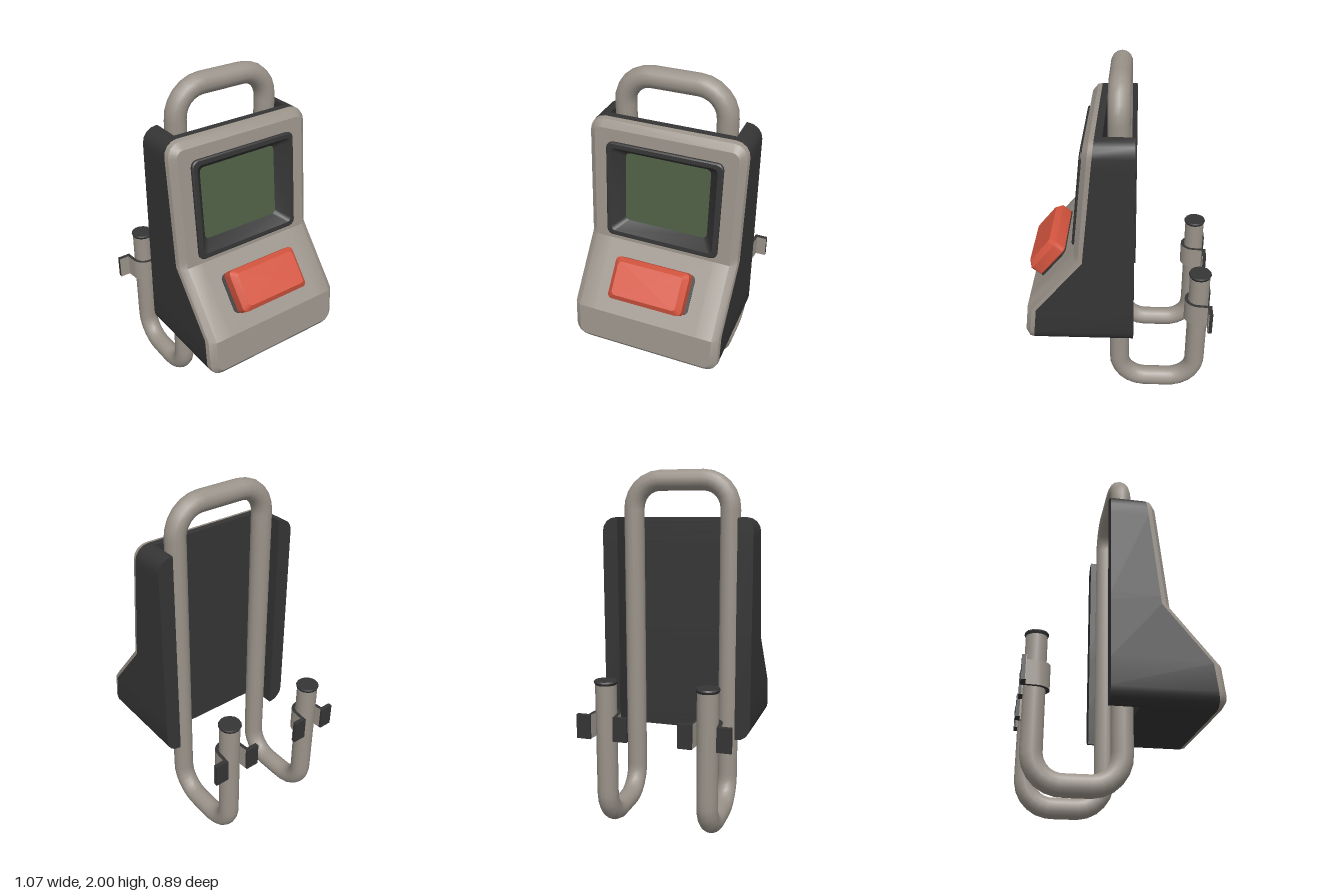
import * as THREE from 'three';
import { toCreasedNormals } from 'three/addons/utils/BufferGeometryUtils.js';

const material = (name, color, side = THREE.FrontSide) => {
  const m = new THREE.MeshStandardMaterial({ color, side });
  m.name = name;
  return m;
};

// Geometry from a list of quads, each four corners counter-clockwise
function quadGeometry(quads) {
  const pos = [];
  for (const [a, b, c, d] of quads) pos.push(...a, ...b, ...c, ...a, ...c, ...d);
  const g = new THREE.BufferGeometry();
  g.setAttribute('position', new THREE.Float32BufferAttribute(pos, 3));
  return toCreasedNormals(g, 0.55);
}

// Skin over rows stacked upwards; caps lists the quads closing both ends
function loft(rows, caps, skip = () => false) {
  const quads = [];
  for (let i = 0; i + 1 < rows.length; i++)
    for (let j = 0; j + 1 < rows[i].length; j++)
      if (!skip(i, j)) quads.push([rows[i][j + 1], rows[i][j], rows[i + 1][j], rows[i + 1][j + 1]]);
  const top = rows[rows.length - 1];
  for (const c of caps) {
    quads.push(c.map(k => rows[0][k]));
    quads.push([...c].reverse().map(k => top[k]));
  }
  return quadGeometry(quads);
}

// Rounded rectangle [halfWidth, halfHeight, radius, level] as a loop of points
function ring([w, h, r, n]) {
  const pts = [];
  for (let c = 0; c < 4; c++)
    for (let s = 0; s <= 3; s++) {
      const a = (c + s / 3) * Math.PI / 2;
      const sx = c === 0 || c === 3 ? 1 : -1, sy = c < 2 ? 1 : -1;
      pts.push([sx * (w - r) + r * Math.cos(a), sy * (h - r) + r * Math.sin(a), n]);
    }
  return pts;
}

// Stack of rounded rectangles, optionally closed on the last one
function pad(specs, capped) {
  const rings = specs.map(ring), quads = [], n = rings[0].length;
  for (let i = 0; i + 1 < rings.length; i++)
    for (let j = 0; j < n; j++) {
      const k = (j + 1) % n;
      quads.push([rings[i][j], rings[i][k], rings[i + 1][k], rings[i + 1][j]]);
    }
  if (capped) {
    const last = rings[rings.length - 1], z = last[0][2];
    for (let j = 0; j < n; j++) quads.push([[0, 0, z], last[j], last[(j + 1) % n], [0, 0, z]]);
  }
  return quadGeometry(quads);
}

// Side profile of the casing: [y, x] of the seam between housing and front shell
const PROFILE = [[0.465, 0.487], [0.70, 0.46], [1.03, 0.19], [1.735, 0.115]];
const SHELL = 0.052;
function seamX(y) {
  let i = 0;
  while (i < PROFILE.length - 2 && y > PROFILE[i + 1][0]) i++;
  const [y0, x0] = PROFILE[i], [y1, x1] = PROFILE[i + 1];
  return x0 + (x1 - x0) * (y - y0) / (y1 - y0);
}

// Casing outline seen from its face, as [y, halfWidth], bottom to top
const HOLE_ROW = 6;
function outline(inset) {
  const r = 0.08 - inset, arc = [0, 1, 2, 3, 4].map(k => k * Math.PI / 8);
  const low = arc.map(a => [0.545 - r * Math.cos(a), 0.365 + r * Math.sin(a)]);
  const mid = [0.70, 1.03, 1.08, 1.60].map(y => [y, 0.365 + r]);
  const high = arc.map(a => [1.655 + r * Math.sin(a), 0.365 + r * Math.cos(a)]);
  return [...low, ...mid, ...high];
}

// Group whose local z is the outward normal of the sloped face at height y
function onFace(name, y) {
  const g = new THREE.Group();
  g.name = name;
  const a = Math.atan(-(seamX(y + 0.01) - seamX(y - 0.01)) / 0.02);
  const c = Math.cos(a), s = Math.sin(a);
  g.quaternion.setFromRotationMatrix(new THREE.Matrix4().makeBasis(
    new THREE.Vector3(0, 0, -1), new THREE.Vector3(-s, c, 0), new THREE.Vector3(c, s, 0)));
  g.position.set(seamX(y) + SHELL, y, 0);
  return g;
}

// Path through corner points with rounded bends
function bentPath(points, r) {
  const path = new THREE.CurvePath();
  let from = points[0];
  for (let i = 1; i < points.length - 1; i++) {
    const p = points[i];
    const a = points[i - 1].clone().sub(p).normalize(), b = points[i + 1].clone().sub(p).normalize();
    const at = (d, t) => p.clone().addScaledVector(d, r * t);
    path.add(new THREE.LineCurve3(from, at(a, 1)));
    path.add(new THREE.CubicBezierCurve3(at(a, 1), at(a, 0.448), at(b, 0.448), at(b, 1)));
    from = at(b, 1);
  }
  path.add(new THREE.LineCurve3(from, points[points.length - 1]));
  return path;
}

export function createModel() {
  const model = new THREE.Group();
  model.name = 'handheldUnit';
  const grey = material('warmGrey', 0x9a938a);
  const dark = material('charcoal', 0x353535);
  const red = material('red', 0xd4553f);
  const green = material('screenGreen', 0x506045);
  const add = (name, geometry, mat, parent = model) => {
    const m = new THREE.Mesh(geometry, mat);
    m.name = name;
    parent.add(m);
    return m;
  };

  // Dark housing with an open channel down its back
  const back = -0.09, floor = 0.075, ch = 0.355;
  const housing = outline(0).map(([y, w]) => {
    const x = seamX(y);
    return [[x, y, w], [back, y, w], [back, y, ch], [floor, y, ch],
      [floor, y, -ch], [back, y, -ch], [back, y, -w], [x, y, -w]];
  });
  add('housing', loft(housing, [[0, 1, 2, 3], [4, 5, 6, 7], [0, 3, 4, 7]]), dark);

  // Front shell with chamfered rim and an opening for the screen
  const layers = [[0, 0], [0.006, 0.025], [0.042, SHELL]].map(([inset, out]) =>
    outline(inset).map(([y, w]) => [seamX(y) + out, y, w]));
  const shell = layers[0].map((_, i) => {
    const right = layers.map(l => [l[i][0], l[i][1], -l[i][2]]);
    const left = layers.map(l => l[i]).reverse();
    const [x, y] = layers[2][i];
    return [...right, [x, y, -0.31], [x, y, 0.31], ...left];
  });
  // Edge points at the opening stay level with the opening itself
  add('frontShell', loft(shell, [[0, 1, 6, 7], [1, 2, 5, 6]],
    (i, j) => i === HOLE_ROW + 1 && j === 3), grey);

  // Screen in a sloping bezel
  const screen = onFace('screenUnit', 1.342);
  model.add(screen);
  add('bezel', pad([[0.33, 0.285, 0.035, -0.01], [0.33, 0.285, 0.035, 0.012],
    [0.323, 0.278, 0.03, 0.018], [0.302, 0.255, 0.025, 0.018], [0.244, 0.208, 0.025, -0.055]], false), dark, screen);
  add('screen', pad([[0.247, 0.211, 0.025, -0.056], [0.247, 0.211, 0.025, -0.054]], true), green, screen);

  // Large push button on the lower slope
  const button = onFace('buttonUnit', 0.865);
  model.add(button);
  add('buttonSeat', pad([[0.235, 0.115, 0.03, -0.005], [0.235, 0.115, 0.03, 0.004]], true), dark, button);
  add('button', pad([[0.208, 0.108, 0.02, 0], [0.22, 0.12, 0.025, 0.012],
    [0.22, 0.12, 0.025, 0.075], [0.19, 0.095, 0.02, 0.107]], true), red, button);

  // One bent tube: handle on top, two hooks below
  const zs = [-0.28, 0.296], hookX = -0.465, tubeX = -0.005, low = 0.06, high = 1.942;
  const side = z => [[hookX, 0.85, z], [hookX, low, z], [tubeX, low, z], [tubeX, high, z]]
    .map(p => new THREE.Vector3(...p));
  const path = bentPath([...side(zs[0]), ...side(zs[1]).reverse()], 0.16);
  add('tubeFrame', new THREE.TubeGeometry(path, 150, 0.059, 14), grey);

  // Clip outline around a tube end, with two flanges
  const clip = new THREE.Shape();
  clip.moveTo(-0.062, -0.145);
  clip.lineTo(-0.05, -0.145);
  clip.lineTo(-0.05, -0.085);
  clip.lineTo(0, -0.08);
  clip.absarc(0, 0, 0.08, -Math.PI / 2, Math.PI / 2, false);
  clip.lineTo(-0.05, 0.085);
  clip.lineTo(-0.05, 0.145);
  clip.lineTo(-0.062, 0.145);
  clip.lineTo(-0.062, 0.066);
  clip.lineTo(0, 0.06);
  clip.absarc(0, 0, 0.06, Math.PI / 2, -Math.PI / 2, true);
  clip.lineTo(-0.062, -0.066);
  const clipGeo = toCreasedNormals(
    new THREE.ExtrudeGeometry(clip, { depth: 0.135, bevelEnabled: false, curveSegments: 10 }).rotateX(-Math.PI / 2), 0.55);

  for (const z of zs) {
    const end = new THREE.Group();
    end.name = 'hookEnd';
    end.position.set(hookX, 0, z);
    model.add(end);
    add('clip', clipGeo, [dark, grey], end).position.y = 0.545;
    for (const s of [-1, 1])
      add('clipFlange', new THREE.BoxGeometry(0.02, 0.135, 0.08), dark, end).position.set(-0.065, 0.6125, s * 0.106);
    add('endCap', new THREE.CylinderGeometry(0.062, 0.066, 0.008, 14), dark, end).position.y = 0.861;
    add('endCapRim', new THREE.CylinderGeometry(0.066, 0.06, 0.014, 14), dark, end).position.y = 0.85;
  }
  return model;
}
